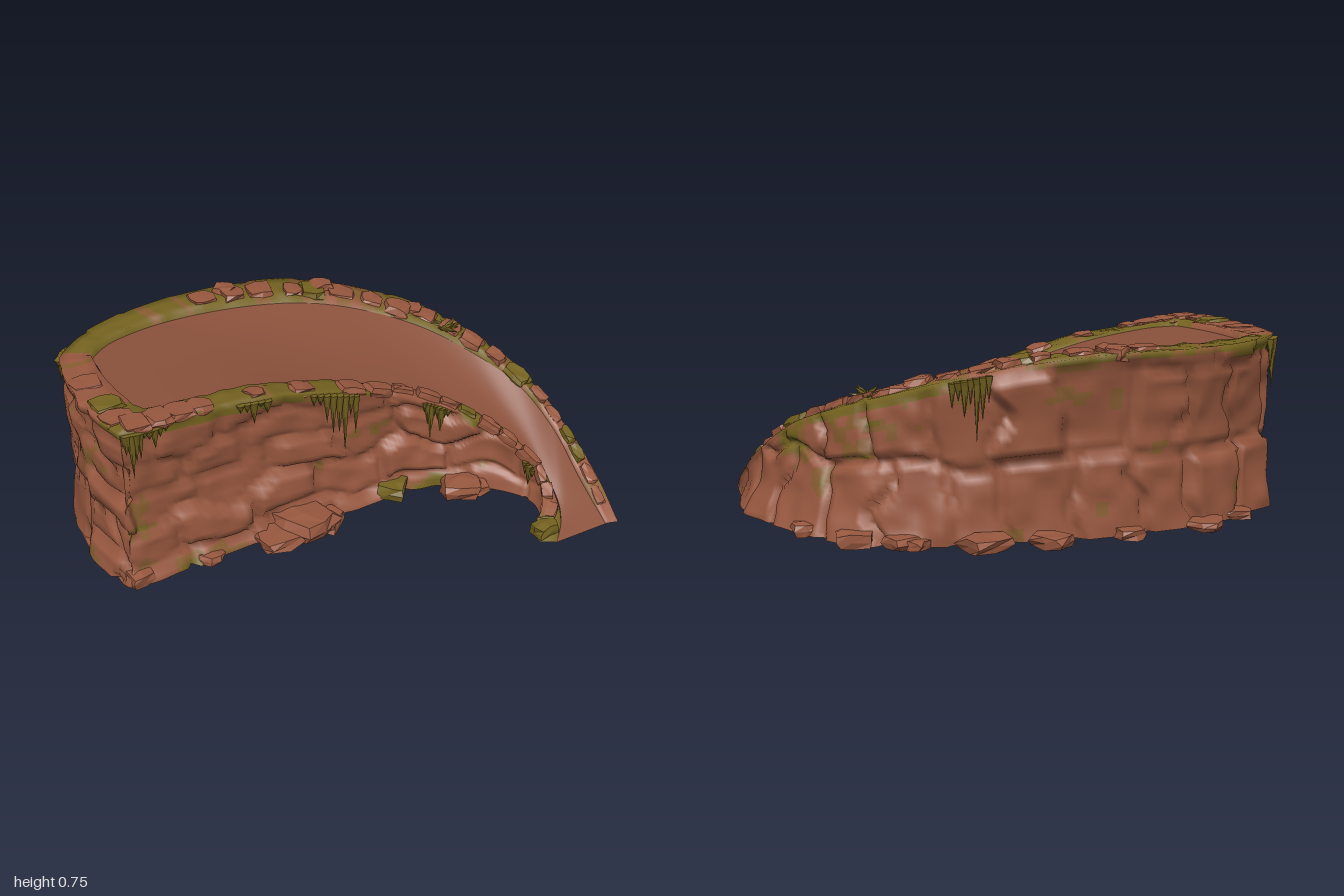
import * as THREE from 'three';
import { mergeGeometries } from 'three/addons/utils/BufferGeometryUtils.js';

// Outline stations: rim x, z, rim height, path edge x, path edge z.
// They run from the low end along the front, round the left end and back along the rear.
const STATIONS = [
  [.56, .71, .015, .62, .745], [.58, .65, .05, .70, .67], [.66, .59, .09, .75, .58],
  [.71, .48, .17, .76, .46], [.67, .37, .25, .72, .36], [.59, .28, .33, .64, .25],
  [.45, .18, .42, .49, .12], [.28, .12, .50, .29, .05], [.05, .10, .58, .05, -.01],
  [-.3, .08, .67, -.3, -.04], [-.65, .08, .705, -.6, -.03], [-.92, .085, .725, -.76, -.03],
  [-.97, .03, .725, -.8, -.06],
  [-.985, -.22, .725, -.82, -.26],
  [-.945, -.48, .725, -.8, -.46], [-.88, -.585, .725, -.78, -.52],
  [-.70, -.69, .73, -.65, -.585], [-.42, -.75, .73, -.4, -.61],
  [-.1, -.73, .73, -.1, -.56], [.2, -.66, .71, .17, -.48], [.45, -.54, .66, .4, -.37],
  [.67, -.37, .59, .6, -.22], [.81, -.15, .51, .74, -.04], [.90, .08, .42, .84, .17],
  [.955, .32, .285, .89, .36], [.965, .55, .135, .89, .56], [.92, .775, .015, .87, .755],
];
const K = STATIONS.length - 1, N = 320, WALL = 26, BASE = .015;
const { smoothstep, lerp, clamp } = THREE.MathUtils;

const hash = (a, b = 0, c = 0) => {
  const s = Math.sin(a * 127.1 + b * 311.7 + c * 74.7) * 43758.5453;
  return s - Math.floor(s);
};
const noise = (x, y) => {
  const i = Math.floor(x), j = Math.floor(y);
  const u = smoothstep(x - i, 0, 1), v = smoothstep(y - j, 0, 1);
  return lerp(lerp(hash(i, j), hash(i + 1, j), u), lerp(hash(i, j + 1), hash(i + 1, j + 1), u), v);
};
// 1 between a and b, fading to 0 over w outside
const band = (x, a, b, w) => smoothstep(x, a - w, a) * (1 - smoothstep(x, b, b + w));

// Grid surface with a material index chosen per cell
function grid(nu, nv, point, pick = () => 0) {
  const pos = [], lists = [[], [], []], g = new THREE.BufferGeometry();
  for (let i = 0; i <= nu; i++) for (let j = 0; j <= nv; j++) pos.push(...point(i, j));
  for (let i = 0; i < nu; i++) for (let j = 0; j < nv; j++) {
    const a = i * (nv + 1) + j, b = a + nv + 1;
    lists[pick(i, j)].push(a, a + 1, b + 1, a, b + 1, b);
  }
  g.setAttribute('position', new THREE.Float32BufferAttribute(pos, 3));
  g.setIndex(lists.flat());
  let start = 0;
  lists.forEach((l, m) => { if (l.length) g.addGroup(start, l.length, m); start += l.length; });
  g.computeVertexNormals();
  return g;
}

// Worn, irregular block
function stone(seed, sx, sy, sz) {
  const g = new THREE.BoxGeometry(1, 1, 1, 2, 2, 2), p = g.attributes.position;
  for (let i = 0; i < p.count; i++) {
    const v = new THREE.Vector3().fromBufferAttribute(p, i);
    const h = (k) => (hash(v.x * 3 + k, v.y * 5 + seed, v.z * 7 + seed * .37) - .5) * .16;
    const d = new THREE.Vector3(h(1), h(2), h(3));
    v.multiplyScalar(v.length() > .8 ? .82 : v.length() > .6 ? .95 : 1).add(d);
    p.setXYZ(i, v.x * sx, v.y * sy, v.z * sz);
  }
  const flat = g.toNonIndexed();
  flat.computeVertexNormals();
  return flat;
}

export function createModel() {
  const group = new THREE.Group();
  const mat = (name, color) => {
    const m = new THREE.MeshStandardMaterial({ color });
    m.name = name;
    return m;
  };
  const rock = mat('red rock', 0x98583f), path = mat('worn path', 0x8a513b);
  const moss = mat('moss', 0x756320), mossyRock = mat('mossy rock', 0x875d31);
  const add = (name, geo, m) => {
    const mesh = new THREE.Mesh(geo, m);
    mesh.name = name;
    group.add(mesh);
  };

  // Rim and path-edge curves share one parameter
  const rimCurve = new THREE.CatmullRomCurve3(STATIONS.map(([x, z, h]) => new THREE.Vector3(x, h, z)), false, 'catmullrom', .5);
  const edgeCurve = new THREE.CatmullRomCurve3(STATIONS.map(([, , h, x, z], i) =>
    new THREE.Vector3(x, Math.max(.012, h - (i < 11 ? .012 : .028)), z)), false, 'catmullrom', .5);
  const S = [];
  for (let i = 0, len = 0; i <= N; i++) {
    const t = i / N, p = rimCurve.getPoint(t), f = edgeCurve.getPoint(t), tan = rimCurve.getTangent(t);
    if (i) len += p.distanceTo(S[i - 1].p);
    S.push({ p, f, tan, len, k: t * K, out: new THREE.Vector3(tan.z, 0, -tan.x).normalize() });
  }

  // Cracked blocks: flat strata at the front, tall slabs at the rear
  const relief = (s, y) => {
    const front = s.k < 13, w = front ? .32 : .26, h = front ? .15 : .36;
    const a = s.len + .12 * noise(s.len * 4, y * 8), b = y + .1 * noise(s.len * 5 + 9, y * 4);
    const row = Math.floor(b / h), shift = a / w + hash(row, 3);
    const col = Math.floor(shift), fu = shift - col, fv = b / h - row;
    const e = Math.min(Math.min(fu, 1 - fu) * w, Math.min(fv, 1 - fv) * h);
    return smoothstep(e, 0, .026) * (.014 + .04 * hash(col, row, 5)) + .02 * noise(s.len * 12, y * 14) - .038;
  };
  const wallPoint = (s, j) => {
    const v = Math.min(1, j / WALL), H = Math.max(BASE, s.p.y), y = lerp(BASE, H, v);
    const flare = band(s.k, 21.7, 24.3, 1.3) * .075 * (1 - v);
    const undercut = band(s.k, 16, 19, 1.3) * -.075 * (1 - v);
    const waist = -.03 * Math.sin(Math.PI * v) + .012 * (1 - v);
    const d = clamp(H / .3, 0, 1) * (waist + flare + undercut + relief(s, y) * (1 - .7 * smoothstep(v, .88, 1)));
    return [s.p.x + s.out.x * d, y, s.p.z + s.out.z * d];
  };
  const rimPoint = (s, j) => {
    if (j <= WALL) return wallPoint(s, j);
    const q = new THREE.Vector3().lerpVectors(s.p, s.f, [.3, .65, .92, 1][j - WALL - 1]);
    if (j < WALL + 4) q.y = Math.max(q.y, lerp(s.p.y, s.f.y, .2)) + .014 * (noise(s.len * 16, j * 3) - .3) * clamp(s.p.y * 5, 0, 1);
    else q.y -= .004;
    return [q.x, q.y, q.z];
  };
  // Moss gathers on the rim, on the lower right flank and in patches at the foot
  const rimMoss = (k) => k < 3.5 ? .3 : k < 7 ? .2 : k < 12.3 ? .36 : k < 14.8 ? -.1 : k < 17.2 ? .45 : k < 22.5 ? .34 : .18;
  const mossAt = (i, j) => {
    const s = S[i], y = s.p.y * Math.min(1, j / WALL), n = noise(s.len * 5 + 20, y * 9);
    let m = n * .6 + .25 * noise(s.len * 18, y * 22 + 4);
    if (j >= WALL - 1) m += rimMoss(s.k);
    else if (j > WALL - 3) m += rimMoss(s.k) * .6;
    else if (j < 4 && s.k < 13) m += .1;
    else m += -.1 + .26 * band(s.k, 23, 24.3, .6) * smoothstep(y, .12, .22);
    return m > .66 ? 1 : m > .56 ? 2 : 0;
  };
  add('rocky walls and rim', grid(N, WALL + 4, (i, j) => rimPoint(S[i], j), mossAt), [rock, moss, mossyRock]);

  // Path surface and underside span the front and rear outlines
  add('sloping path', grid(N / 2, 6, (i, j) => new THREE.Vector3().lerpVectors(S[i].f, S[N - i].f, j / 6).toArray()), path);
  add('underside', grid(N / 2, 1, (i, j) => wallPoint(S[j ? i : N - i], 0)), rock);

  const rocks = [], greens = [];

  // Rim stones laid along the edge, set toward the path on the rear right
  let next = .06;
  S.forEach((s, i) => {
    if (s.len < next) return;
    const r = hash(i, 7), size = .07 + .045 * r, rear = s.k > 17;
    next = s.len + size * (rear ? 1.15 : 1);
    const skip = s.k > 14.6 && s.k < 17.3 ? .92 : s.k > 8 && s.k < 14.7 ? .6 : .12;
    if (s.p.y < .035 || hash(i, 2) < skip) return;
    const width = s.p.distanceTo(s.f), x = s.tan.clone().negate();
    const y = new THREE.Vector3().crossVectors(s.out, x).normalize();
    const high = (.035 + .025 * hash(i, 4)) * (s.k > 8 && s.k < 15 ? .7 : 1);
    const g = stone(i, size, high * clamp(s.p.y * 6, .5, 1), Math.min(.12, width * (rear ? .6 : .7) * (.85 + .3 * r)));
    const q = new THREE.Vector3().lerpVectors(s.p, s.f, (rear ? .48 : .32) + .15 * hash(i, 9));
    q.y = lerp(s.p.y, s.f.y, .3);
    g.applyMatrix4(new THREE.Matrix4().makeBasis(x, y, s.out).setPosition(q));
    (hash(i, 11) < (rear ? .3 : .16) ? greens : rocks).push(g);
  });

  // Boulders at the foot: x, z, size, height
  [[-.33, .14, .17, .05], [-.2, .11, .24, .09], [-.1, .14, .14, .05], [.5, .25, .17, .07], [.56, .28, .1, .05],
    [-.92, .07, .1, .06], [-.62, .08, .12, .04], [.25, .11, .14, .07], [.82, -.32, .14, .06], [.93, -.07, .1, .05],
    [.42, -.6, .17, .06], [.17, -.66, .14, .05], [-.48, -.72, .15, .04], [-.68, -.65, .12, .04],
    [-.15, -.68, .13, .04], [.67, -.42, .12, .05], [.64, -.46, .1, .04]].forEach(([x, z, w, h], i) => {
    const g = stone(i + 400, w, h, w * .85);
    g.rotateY(i * 1.9).translate(x, h * .5 + .01, z);
    (i === 7 ? greens : rocks).push(g);
  });
  // Taller stones on the rim and a mossy lump at the low end
  [[.3, .69, -.55, .09], [.62, .58, -.33, .1], [-.1, .725, -.68, .09]].forEach(([x, y, z, w], i) =>
    rocks.push(stone(i + 500, w, w * .6, w).rotateY(i).translate(x, y, z)));
  greens.push(stone(510, .11, .05, .08).translate(.61, .045, .675));
  add('loose stones', mergeGeometries(rocks), rock);
  add('moss covered stones', mergeGeometries(greens), moss);

  // Hanging moss: station, longest strand
  const strands = [];
  const cone = (r, l) => new THREE.ConeGeometry(r, l, 5);
  [[8.15, .27], [8.35, .13], [11, .2], [10.6, .09], [9.3, .1], [6.3, .17], [6.1, .12], [3.3, .1],
    [19.9, .25], [20.1, .14], [15, .2], [14.7, .11]].forEach(([k, l]) => {
    for (let n = -2; n <= 2; n++) {
      const s = S[clamp(Math.round(k / K * N) + n, 0, N)];
      const len = l * (n === 0 ? 1 : .25 + .45 * hash(n, k)), r = .014 + .008 * hash(k, n);
      strands.push(cone(r, len).rotateX(Math.PI).translate(
        s.p.x + s.out.x * .003, s.p.y - len / 2 - .012, s.p.z + s.out.z * .003));
    }
  });
  add('hanging moss', mergeGeometries(strands), moss);

  // Low leafy tuft on the rear rim
  const leaves = [];
  for (let n = 0; n < 14; n++) {
    const l = .055 + .03 * hash(n, 3);
    leaves.push(cone(.016, l).translate(0, l / 2, 0).rotateZ(-.8 - .7 * hash(n, 2)).rotateY(n * 2.4).translate(.7, .545, -.17));
  }
  add('leafy tuft', mergeGeometries(leaves), moss);

  return group;
}
